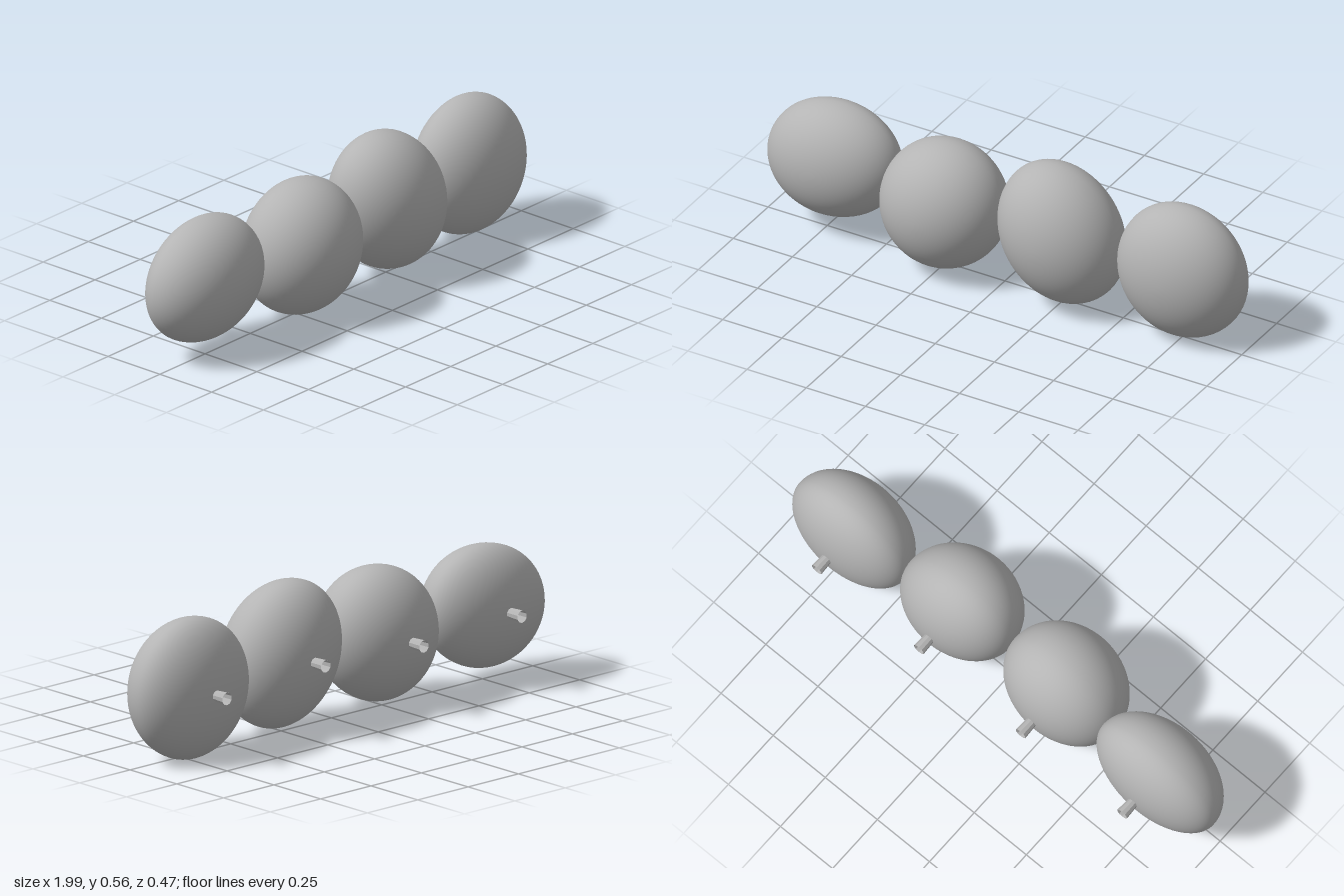
import * as THREE from 'three';
import { mergeVertices } from 'three/addons/utils/BufferGeometryUtils.js';

const shellMaterial = new THREE.MeshStandardMaterial({ color: 0xb4b4b4 });
shellMaterial.name = 'plain grey';
const pegMaterial = new THREE.MeshStandardMaterial({ color: 0xb4b4b4, flatShading: true, side: THREE.DoubleSide });
pegMaterial.name = 'peg grey';

// centre x, y; half width, half height; sideways lean at the top; z of the rim; front and back depth
const pebbles = [
  { x: -0.73, y: 0.292, hx: 0.27, hy: 0.233, lean: 0.017, rim: -0.03, front: 0.185, back: 0.145 },
  { x: -0.243, y: 0.275, hx: 0.248, hy: 0.255, lean: 0.01, rim: 0.015, front: 0.217, back: 0.19 },
  { x: 0.245, y: 0.296, hx: 0.248, hy: 0.272, lean: -0.035, rim: 0, front: 0.21, back: 0.177 },
  { x: 0.735, y: 0.269, hx: 0.26, hy: 0.266, lean: 0, rim: -0.035, front: 0.185, back: 0.145 },
];

// Smooth pebble: a sphere scaled differently in front of and behind its rim
function pebbleGeometry({ hx, hy, lean, rim, front, back }) {
  let g = new THREE.SphereGeometry(1, 64, 40).rotateX(Math.PI / 2);
  const p = g.attributes.position;
  const width = Math.sqrt(hx * hx - lean * lean);
  for (let i = 0; i < p.count; i++) {
    const u = p.getX(i), v = p.getY(i), w = p.getZ(i);
    p.setXYZ(i, width * u + lean * v, hy * v, rim + w * (w > 0 ? front : back));
  }
  g.deleteAttribute('uv');
  g.deleteAttribute('normal');
  g = mergeVertices(g, 1e-5);
  g.computeVertexNormals();
  return g;
}

export function createModel() {
  const model = new THREE.Group();
  model.name = 'pebbleRow';

  // Hollow, slightly flared peg pointing backwards
  const pegGeometry = new THREE.CylinderGeometry(0.024, 0.02, 0.075, 10, 1, true).rotateX(-Math.PI / 2);

  pebbles.forEach((spec, i) => {
    const unit = new THREE.Group();
    unit.name = `pebbleUnit${i + 1}`;
    unit.position.set(spec.x, spec.y, 0);

    const pebble = new THREE.Mesh(pebbleGeometry(spec), shellMaterial);
    pebble.name = 'pebble';

    const peg = new THREE.Mesh(pegGeometry, pegMaterial);
    peg.name = 'backPeg';
    peg.position.z = -0.196;

    unit.add(pebble, peg);
    model.add(unit);
  });
  return model;
}
